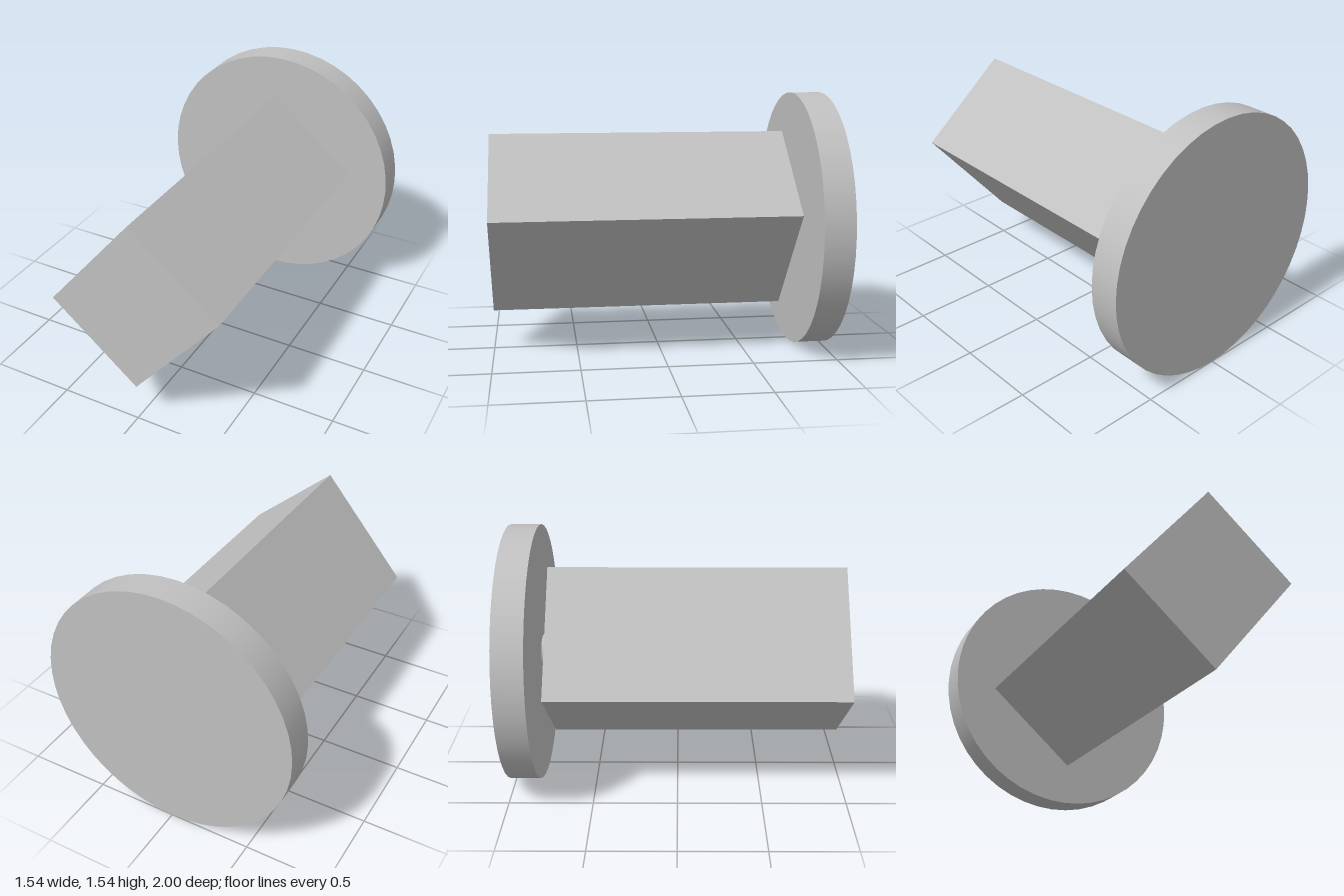
import * as THREE from 'three';

const AXIS_Y = 0.77;

export function createModel() {
  const model = new THREE.Group();
  const grey = new THREE.MeshStandardMaterial({ color: 0xc0c0c0 });
  grey.name = 'light grey';

  const add = (name, geometry, zBack, zFront) => {
    const mesh = new THREE.Mesh(geometry, grey);
    mesh.name = name;
    mesh.position.set(0, AXIS_Y, (zBack + zFront) / 2);
    model.add(mesh);
    return mesh;
  };

  // Cylinder lying along z between two depths
  const addDisc = (name, radius, zBack, zFront) =>
    add(name, new THREE.CylinderGeometry(radius, radius, zFront - zBack, 48).rotateX(Math.PI / 2), zBack, zFront);

  // Wide round plate at the back and the short neck in front of it
  addDisc('backPlate', 0.77, -1, -0.82);
  addDisc('neck', 0.1, -0.82, -0.77);

  // Long rectangular block, turned about its axis
  const block = add('block', new THREE.BoxGeometry(0.82, 0.688, 1.77), -0.77, 1);
  block.rotation.z = THREE.MathUtils.degToRad(50);

  return model;
}
